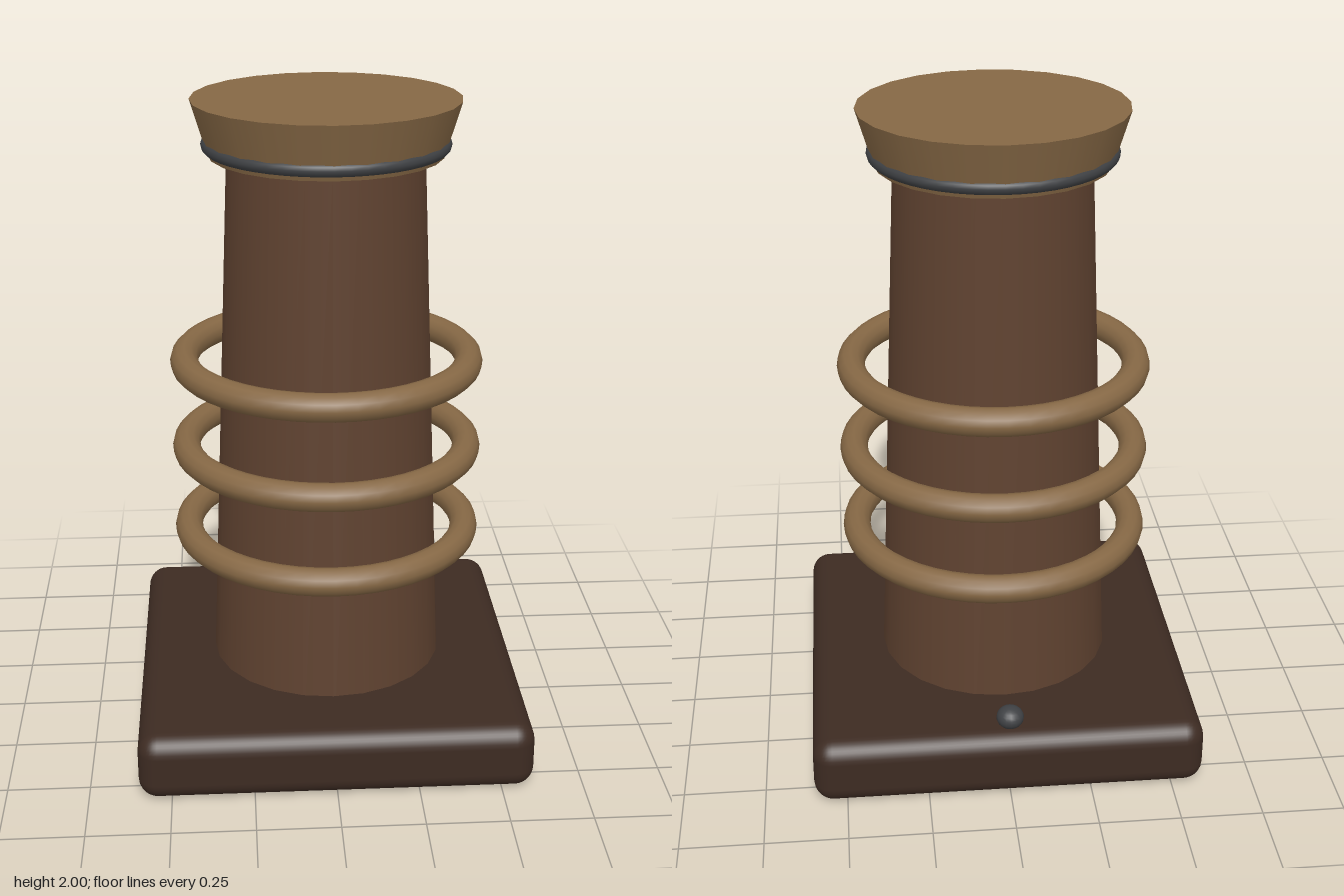
import * as THREE from 'three';
import { RoundedBoxGeometry } from 'three/addons/geometries/RoundedBoxGeometry.js';

const material = (name, color) => {
  const m = new THREE.MeshStandardMaterial({ color });
  m.name = name;
  return m;
};

export function createModel() {
  const group = new THREE.Group();
  const darkWood = material('dark wood', 0x3d2b22);
  const brownWood = material('brown wood', 0x5f4230);
  const lightWood = material('light wood', 0x866845);
  const darkMetal = material('dark metal', 0x3f4144);

  const add = (name, geometry, mat, y, z = 0) => {
    const mesh = new THREE.Mesh(geometry, mat);
    mesh.name = name;
    mesh.position.set(0, y, z);
    group.add(mesh);
    return mesh;
  };
  const ring = (radius, tube) =>
    new THREE.TorusGeometry(radius, tube, 12, 48).rotateX(Math.PI / 2);

  // Square plinth with softened edges
  add('base', new RoundedBoxGeometry(1.2, 0.21, 1.2, 4, 0.06), darkWood, 0.105);

  // Tapered column, sunk into the base
  add('column', new THREE.CylinderGeometry(0.295, 0.372, 1.83, 24), brownWood, 0.925);

  // Three loose rings around the column
  [0.645, 0.92, 1.2].forEach((y, i) => add(`ring${i + 1}`, ring(0.437, 0.043), lightWood, y));

  // Flared cap and its metal band
  add('cap', new THREE.CylinderGeometry(0.4, 0.35, 0.165, 24), lightWood, 1.9175);
  add('capBand', ring(0.349, 0.021), darkMetal, 1.867);

  // Small flattened knob above the back edge of the base
  add('knob', new THREE.SphereGeometry(0.042, 16, 12), darkMetal, 0.261, -0.55).scale.y = 0.83;

  return group;
}
